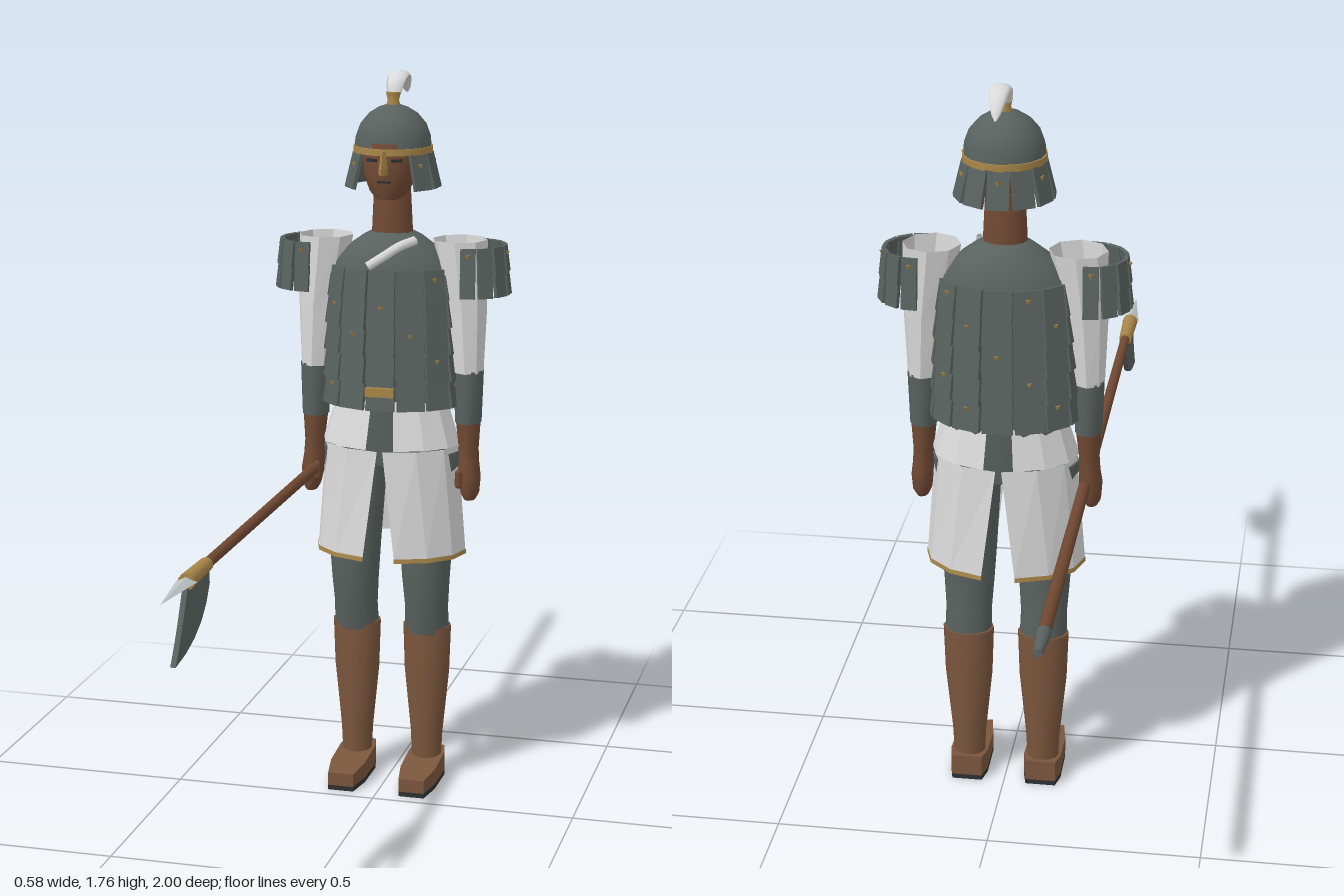
import * as THREE from 'three';

const mat = (name, color) => new THREE.MeshStandardMaterial({ name, color });
const slate = mat('slateArmour', 0x59625f);
const cloth = mat('paleCloth', 0xdadada);
const leather = mat('leather', 0x7b563d);
const skin = mat('skin', 0x714a34);
const wood = mat('wood', 0x704831);
const gold = mat('brass', 0xa98749);
const dark = mat('darkDetail', 0x2c3032);
const steel = mat('steel', 0xbcc2c2);
for (const m of [cloth, slate]) m.side = THREE.DoubleSide;

const CZ = -0.195; // body centre line in z

function add(parent, name, geo, material, x = 0, y = 0, z = 0) {
  const m = new THREE.Mesh(geo, material);
  m.name = name;
  m.position.set(x, y, z);
  parent.add(m);
  return m;
}

function flat(geo) {
  const g = geo.index ? geo.toNonIndexed() : geo;
  g.computeVertexNormals();
  return g;
}

// Loft upward through elliptical rings [y, rx, rz, cx, cz, gap].
// half = 1 or -1 makes an open shell on one side, leaving a gap front and back.
function loft(rings, sides, { half = 0, caps = true, faceted = false } = {}) {
  const pos = [], idx = [];
  const cols = half ? sides + 1 : sides;
  for (const [y, rx, rz, cx = 0, cz = CZ, gap = 0] of rings) {
    const start = half < 0 ? Math.PI + gap : gap;
    const span = half ? Math.PI - 2 * gap : Math.PI * 2;
    for (let j = 0; j < cols; j++) {
      const t = start + span * j / sides;
      pos.push(cx + rx * Math.sin(t), y, cz + rz * Math.cos(t));
    }
  }
  for (let i = 0; i < rings.length - 1; i++) {
    for (let j = 0; j < sides; j++) {
      const a = i * cols + j, b = i * cols + (j + 1) % cols;
      idx.push(a, b, b + cols, a, b + cols, a + cols);
    }
  }
  if (caps && !half) {
    for (const top of [0, 1]) {
      const r = top ? rings.length - 1 : 0, base = pos.length / 3;
      const [y, , , cx = 0, cz = CZ] = rings[r];
      for (let j = 0; j < cols; j++) pos.push(...pos.slice((r * cols + j) * 3, (r * cols + j) * 3 + 3));
      pos.push(cx, y, cz);
      for (let j = 0; j < cols; j++) {
        const a = base + j, b = base + (j + 1) % cols;
        idx.push(...(top ? [a, b, base + cols] : [b, a, base + cols]));
      }
    }
  }
  const g = new THREE.BufferGeometry();
  g.setAttribute('position', new THREE.Float32BufferAttribute(pos, 3));
  g.setIndex(idx);
  if (faceted) return flat(g);
  g.computeVertexNormals();
  return g;
}

// Armour plate hung on an ellipse at angle t, its lower edge tilted outward
function plate(parent, name, t, y, rx, rz, cx, cz, w, h, tilt, rivet) {
  const g = new THREE.Group();
  g.name = name;
  g.rotation.order = 'YXZ';
  g.position.set(cx + rx * Math.sin(t), y, cz + rz * Math.cos(t));
  g.rotation.set(-tilt, Math.atan2(Math.sin(t) / rx, Math.cos(t) / rz), 0);
  add(g, 'plate', new THREE.BoxGeometry(w, h, 0.009), slate);
  if (rivet) add(g, 'rivet', flat(new THREE.ConeGeometry(0.009, 0.014, 4).rotateX(Math.PI)), gold, 0, h * 0.15, 0.003);
  parent.add(g);
}

function buildTorso(root) {
  add(root, 'tunic', loft([[0.82, 0.13, 0.085], [0.95, 0.145, 0.1], [1.05, 0.14, 0.1], [1.26, 0.155, 0.108],
    [1.31, 0.148, 0.1], [1.35, 0.105, 0.08], [1.375, 0.07, 0.062], [1.385, 0.05, 0.045]], 16), slate);
  const armour = new THREE.Group();
  armour.name = 'lamellarArmour';
  root.add(armour);
  const n = 14;
  for (let row = 0; row < 5; row++) {
    const rx = [0.152, 0.158, 0.161, 0.163, 0.165][row], rz = [0.112, 0.119, 0.121, 0.122, 0.122][row];
    for (let k = 0; k < n; k++) {
      const t = k / n * Math.PI * 2;
      const w = Math.hypot(rx * Math.cos(t), rz * Math.sin(t)) * 0.449 * 0.95;
      plate(armour, 'bodyPlate', t, 1.265 - row * 0.0655, rx, rz, 0, CZ, w, 0.076, 0.14, (row * 2 + k) % 3 === 2);
    }
  }
  add(root, 'beltBuckle', new THREE.BoxGeometry(0.07, 0.022, 0.012), gold, 0, 1.012, -0.064);
  // Scarf crossing the collar
  const scarf = new THREE.CatmullRomCurve3([[0.065, 1.368, -0.15], [0.035, 1.358, -0.115], [0, 1.335, -0.098], [-0.035, 1.312, -0.088]]
    .map(p => new THREE.Vector3(...p)));
  add(root, 'scarf', new THREE.TubeGeometry(scarf, 10, 0.012, 6), cloth);
}

function buildSkirt(root) {
  for (const half of [1, -1]) {
    const o = { half };
    add(root, 'lowerSkirt', loft([[0.6, 0.187, 0.137, 0, -0.187, 0.21], [0.865, 0.166, 0.122, 0, -0.187, 0.04]], 6, { half, faceted: true }), cloth);
    add(root, 'upperSkirt', loft([[0.868, 0.172, 0.126, 0, -0.187, 0.2], [0.985, 0.135, 0.1, 0, -0.19, 0.2]], 6, { half, faceted: true }), cloth);
    const trim = add(root, 'skirtTrim', loft([[0.591, 0.189, 0.139, 0, -0.187, 0.21], [0.602, 0.188, 0.138, 0, -0.187, 0.21]], 6, o), gold);
    trim.material = gold;
  }
}

function buildLeg(root, s) {
  const x = s * 0.09;
  add(root, 'trouserLeg', loft([[0.38, 0.057, 0.046, x, -0.192], [0.45, 0.055, 0.052, x, -0.184], [0.52, 0.06, 0.054, x, -0.176],
    [0.62, 0.067, 0.058, x, -0.174], [0.85, 0.082, 0.07, x, -0.187]], 12), slate);
  add(root, 'boot', loft([[0.04, 0.037, 0.036, x, -0.193], [0.12, 0.041, 0.038, x, -0.193], [0.28, 0.057, 0.045, x, -0.193],
    [0.4, 0.061, 0.048, x, -0.193]], 12), leather);
  const outline = new THREE.Shape([[-0.036, 0.24], [0.036, 0.24], [0.045, 0.2], [0.044, 0.1], [0.032, 0.03], [-0.032, 0.03], [-0.044, 0.1], [-0.045, 0.2]]
    .map(p => new THREE.Vector2(...p)));
  const slab = depth => new THREE.ExtrudeGeometry(outline, { depth, bevelEnabled: false }).rotateX(-Math.PI / 2);
  const foot = slab(0.05), p = foot.attributes.position;
  for (let i = 0; i < p.count; i++) if (p.getY(i) > 0.01) p.setY(i, 0.033 + (-0.03 - p.getZ(i)) * 0.09);
  foot.computeVertexNormals();
  add(root, 'shoe', foot, leather, x, 0.012, 0);
  add(root, 'sole', slab(0.012), dark, x, 0, 0);
}

function buildArm(root, s) {
  add(root, 'sleeve', loft([[1.05, 0.037, 0.045, s * 0.191, -0.186], [1.2, 0.05, 0.054, s * 0.184, -0.19], [1.37, 0.067, 0.066, s * 0.166, CZ]],
    8, { caps: false, faceted: true }), cloth);
  add(root, 'bracer', loft([[0.925, 0.032, 0.038, s * 0.192, -0.184], [1.055, 0.036, 0.043, s * 0.192, -0.186]], 10), slate);
  add(root, 'forearmAndFist', loft([[0.735, 0.014, 0.022, s * 0.2, -0.172], [0.75, 0.022, 0.032, s * 0.2, -0.174], [0.79, 0.028, 0.036, s * 0.197, -0.176],
    [0.825, 0.025, 0.033, s * 0.195, -0.18], [0.86, 0.024, 0.029, s * 0.194, -0.182], [0.93, 0.03, 0.036, s * 0.192, -0.184]], 10), skin);
  add(root, 'thumb', new THREE.CapsuleGeometry(0.009, 0.03, 3, 6), skin, s * 0.178, 0.79, -0.142);
  // Shoulder guard of two plate rows on the outer side
  for (let row = 0; row < 2; row++) {
    for (let k = 0; k < 7; k++) {
      const t = s * (0.12 + k / 6 * (Math.PI - 0.24)), r = 0.084 + row * 0.004;
      plate(root, 'shoulderPlate', t, 1.328 - row * 0.055, r, r, s * 0.193, CZ, 0.036, 0.064, 0.13, row === 0 && k % 3 === 0);
    }
  }
}

function buildHead(root) {
  add(root, 'neck', loft([[1.36, 0.052, 0.042, 0, -0.19], [1.5, 0.045, 0.038, 0, -0.188]], 12), skin);
  add(root, 'head', loft([[1.468, 0.03, 0.034, 0, -0.15], [1.485, 0.047, 0.05, 0, -0.16], [1.525, 0.064, 0.066, 0, -0.168],
    [1.6, 0.07, 0.068, 0, -0.17], [1.64, 0.05, 0.05, 0, -0.18]], 14), skin);
  add(root, 'nose', loft([[1.53, 0.011, 0.02, 0, -0.099], [1.545, 0.011, 0.019, 0, -0.099], [1.585, 0.006, 0.009, 0, -0.1]], 4, { faceted: true }), gold);
  for (const s of [1, -1]) {
    add(root, 'eye', new THREE.BoxGeometry(0.026, 0.007, 0.008), dark, s * 0.03, 1.563, -0.109).rotation.y = s * 0.42;
  }
  add(root, 'mouth', new THREE.BoxGeometry(0.032, 0.005, 0.008), dark, 0, 1.512, -0.105);

  // Helmet with brim band, neck guard and finial
  add(root, 'helmetDome', loft([[1.575, 0.093, 0.093], [1.61, 0.091, 0.091], [1.64, 0.08, 0.08], [1.665, 0.059, 0.059], [1.68, 0.035, 0.035], [1.688, 0.012, 0.012]],
    16, { caps: false }), slate);
  add(root, 'helmetBand', loft([[1.574, 0.096, 0.096], [1.59, 0.096, 0.096]], 16), gold);
  for (let k = 0; k < 9; k++) {
    const t = 0.95 + k / 8 * (Math.PI * 2 - 1.9);
    plate(root, 'neckGuardPlate', t, 1.533, 0.099, 0.099, 0, CZ, 0.05, 0.086, 0.24, k % 2 === 0);
  }
  add(root, 'finial', loft([[1.675, 0.021, 0.021], [1.695, 0.014, 0.014], [1.715, 0.018, 0.018]], 8), gold);

  // Tapered plume sweeping back
  const curve = new THREE.CatmullRomCurve3([[1.708, -0.202], [1.735, -0.215], [1.75, -0.25], [1.74, -0.295], [1.702, -0.332]]
    .map(([y, z]) => new THREE.Vector3(0, y, z)));
  const seg = 12, radial = 8, plume = new THREE.TubeGeometry(curve, seg, 0.012, radial), p = plume.attributes.position;
  const v = new THREE.Vector3();
  for (let i = 0; i < p.count; i++) {
    const u = Math.floor(i / (radial + 1)) / seg, c = curve.getPointAt(u);
    const f = 0.1 + 0.9 * Math.pow(Math.sin(Math.PI * (0.18 + 0.82 * u)), 0.7);
    v.fromBufferAttribute(p, i).sub(c).multiplyScalar(f);
    p.setXYZ(i, v.x * 2, c.y + v.y, c.z + v.z);
  }
  plume.computeVertexNormals();
  add(root, 'plume', plume, cloth);
}

function buildPolearm(root) {
  const arm = new THREE.Group();
  arm.name = 'polearm';
  arm.position.set(-0.186, 0.793, 0);
  root.add(arm);
  // Rod along z from z0 to z1
  const rod = (name, r0, r1, z0, z1, m) =>
    add(arm, name, new THREE.CylinderGeometry(r1, r0, z1 - z0, 10).rotateX(Math.PI / 2), m, 0, 0, (z0 + z1) / 2);
  rod('shaft', 0.015, 0.012, -0.92, 0.72, wood);
  rod('buttCap', 0.01, 0.017, -1, -0.91, slate);
  rod('ferrule', 0.016, 0.019, 0.7, 0.835, gold);
  add(arm, 'spearTip', flat(new THREE.ConeGeometry(0.023, 0.17, 4).rotateX(Math.PI / 2).scale(1, 0.5, 1)), steel, 0, 0, 0.915);
  // Hanging crescent blade, drawn in (z, y)
  const s = new THREE.Shape();
  s.moveTo(0.7, -0.01);
  s.lineTo(0.697, -0.042);
  s.quadraticCurveTo(0.745, -0.145, 0.93, -0.158);
  s.quadraticCurveTo(0.885, -0.1, 0.845, -0.012);
  const blade = new THREE.ExtrudeGeometry(s, { depth: 0.012, bevelEnabled: false, curveSegments: 5 });
  add(arm, 'crescentBlade', blade.rotateY(-Math.PI / 2), slate, 0.006, 0, 0);
}

export function createModel() {
  const root = new THREE.Group();
  root.name = 'armouredGuard';
  buildTorso(root);
  buildSkirt(root);
  for (const s of [1, -1]) {
    buildLeg(root, s);
    buildArm(root, s);
  }
  buildHead(root);
  buildPolearm(root);
  return root;
}
